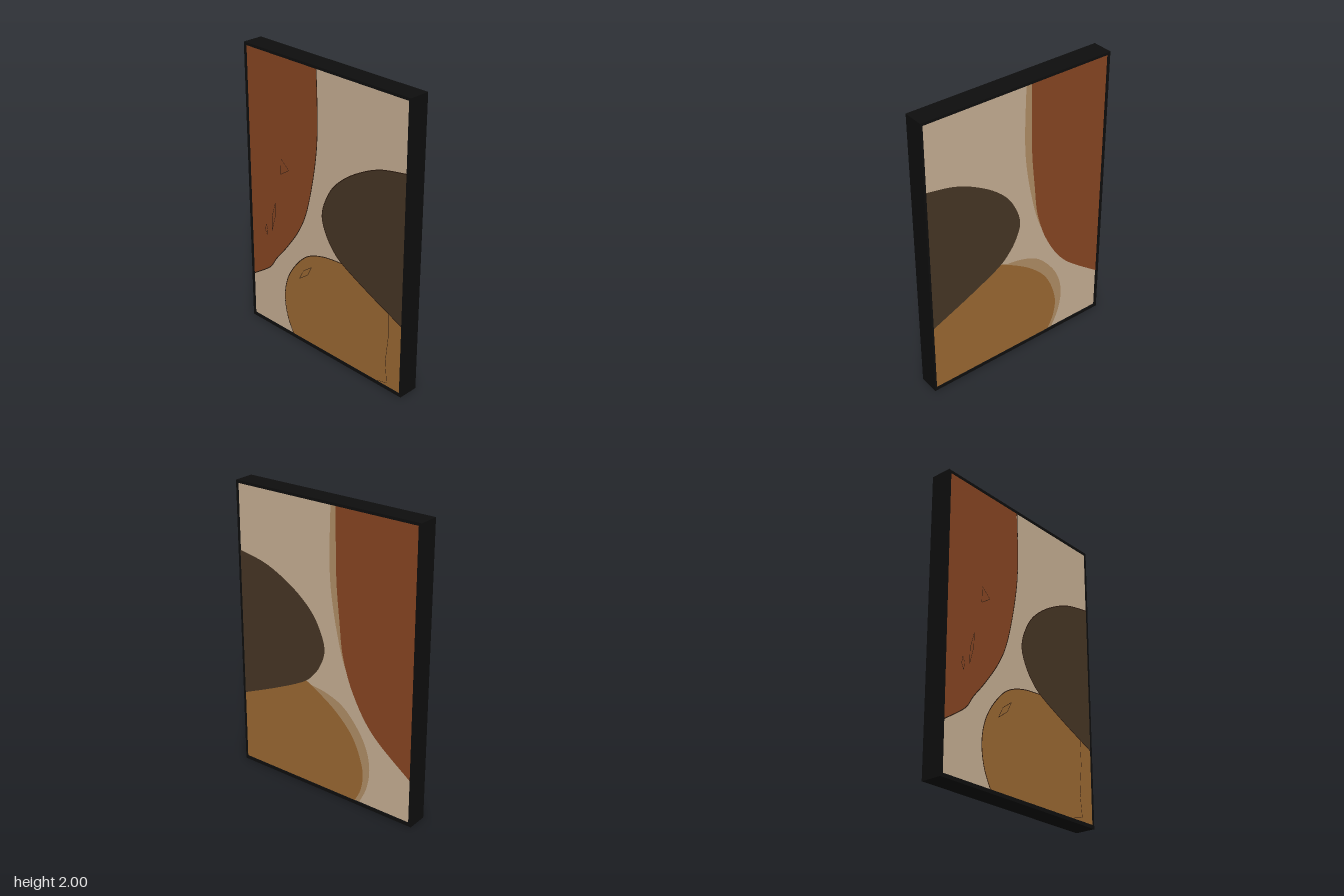
import * as THREE from 'three';

const material = (name, color) => {
  const m = new THREE.MeshStandardMaterial({ color });
  m.name = name;
  return m;
};

// smooth curve through [x, y] points
const smooth = (pts, n = 48) =>
  new THREE.SplineCurve(pts.map(([x, y]) => new THREE.Vector2(x, y))).getPoints(n);
const corners = (pts) => pts.map(([x, y]) => new THREE.Vector2(x, y));

export function createModel() {
  const black = material('frame black', 0x0e0e0e);
  const cream = material('cream', 0xc6ae93);
  const terracotta = material('terracotta', 0x874522);
  const umber = material('dark umber', 0x463524);
  const ochre = material('ochre', 0x9a6832);
  const halo = material('pale tan edge', 0xb08d65);
  const ink = material('ink line', 0x2c1b10);

  const model = new THREE.Group();
  model.name = 'framedPainting';
  const add = (parent, name, geometry, mat, z = 0) => {
    const mesh = new THREE.Mesh(geometry, mat);
    mesh.name = name;
    mesh.position.z = z;
    parent.add(mesh);
    return mesh;
  };

  // Frame: a rectangular ring running the full depth
  const outer = new THREE.Shape(corners([[-0.695, 0], [0.692, 0], [0.692, 2], [-0.695, 2]]));
  outer.holes.push(new THREE.Path(corners([[-0.675, 0.024], [-0.675, 1.982], [0.678, 1.982], [0.678, 0.024]])));
  add(model, 'frame', new THREE.ExtrudeGeometry(outer, { depth: 0.142, bevelEnabled: false }), black, -0.072);

  // Canvas block filling the frame
  const canvas = add(model, 'canvas', new THREE.BoxGeometry(1.36, 1.965, 0.13), cream);
  canvas.position.y = 1.003;

  // Curved edges of the painted shapes
  const rustEdge = smooth([[-0.05, 1.982], [-0.043, 1.6], [-0.07, 1.33], [-0.14, 1.02], [-0.22, 0.84],
    [-0.34, 0.67], [-0.44, 0.55], [-0.51, 0.455], [-0.677, 0.34]]);
  const rustInner = smooth([[-0.09, 1.982], [-0.095, 1.55], [-0.12, 1.26], [-0.15, 1.02], [-0.235, 0.78],
    [-0.39, 0.55], [-0.677, 0.325]]);
  const umberEdge = smooth([[0.679, 1.54], [0.46, 1.495], [0.25, 1.39], [0.1, 1.265], [0.02, 1.13],
    [-0.005, 1.02], [0.025, 0.92], [0.08, 0.835], [0.17, 0.755], [0.4, 0.64], [0.679, 0.518]]);
  const ochreEdge = smooth([[-0.285, 0.022], [-0.34, 0.14], [-0.363, 0.28], [-0.34, 0.42], [-0.27, 0.55],
    [-0.15, 0.675], [0, 0.735], [0.17, 0.755]]);
  const ochreInner = smooth([[-0.25, 0.022], [-0.3, 0.13], [-0.308, 0.28], [-0.23, 0.48], [-0.08, 0.635],
    [0.13, 0.765]]);

  const rustCorner = corners([[-0.677, 1.982]]);
  const ochreCorners = corners([[0.3, 0.8], [0.679, 0.6], [0.679, 0.022]]);

  const flat = (pts, flip) => new THREE.ShapeGeometry(
    new THREE.Shape(pts.map((p) => new THREE.Vector2(flip ? -p.x : p.x, p.y))));

  // Thin ribbon following a line
  const ribbon = (pts, width) => {
    const sides = [[], []];
    pts.forEach((p, i) => {
      const a = pts[Math.max(i - 1, 0)], b = pts[Math.min(i + 1, pts.length - 1)];
      const t = b.clone().sub(a).normalize().multiplyScalar(width / 2);
      sides[0].push(new THREE.Vector2(p.x - t.y, p.y + t.x));
      sides[1].unshift(new THREE.Vector2(p.x + t.y, p.y - t.x));
    });
    return flat([...sides[0], ...sides[1]]);
  };

  // Front painting, in overlapping layers
  const front = new THREE.Group();
  front.name = 'frontPainting';
  model.add(front);
  add(front, 'terracottaShape', flat([...rustEdge, ...rustCorner]), terracotta, 0.066);
  add(front, 'ochreShape', flat([...ochreEdge, ...ochreCorners]), ochre, 0.066);
  add(front, 'umberShape', flat(umberEdge), umber, 0.0675);
  for (const [name, edge] of [['terracotta', rustEdge], ['ochre', ochreEdge], ['umber', umberEdge]]) {
    add(front, name + 'Outline', ribbon(edge, 0.006), ink, 0.069);
  }

  // Fine ink marks
  const marks = [
    [[-0.375, 1.3], [-0.305, 1.24], [-0.38, 1.19], [-0.375, 1.3]],
    [[-0.44, 0.965], [-0.475, 0.85], [-0.478, 0.745], [-0.445, 0.86], [-0.44, 0.965]],
    [[-0.535, 0.775], [-0.545, 0.73], [-0.527, 0.69], [-0.52, 0.74], [-0.535, 0.775]],
    [[-0.105, 0.615], [-0.18, 0.56], [-0.22, 0.485], [-0.14, 0.545], [-0.105, 0.615]],
    [[0.57, 0.56], [0.575, 0.4], [0.555, 0.2], [0.572, 0.05], [0.49, 0.03]],
  ];
  marks.forEach((pts) => {
    for (let i = 1; i < pts.length; i++) {
      add(front, 'inkMark', ribbon(corners([pts[i - 1], pts[i]]), 0.003), ink, 0.069);
    }
  });

  // Back painting repeats the design with pale edges
  const back = new THREE.Group();
  back.name = 'backPainting';
  back.rotation.y = Math.PI;
  model.add(back);
  add(back, 'terracottaHalo', flat([...rustEdge, ...rustCorner], true), halo, 0.066);
  add(back, 'ochreHalo', flat([...ochreEdge, ...ochreCorners], true), halo, 0.066);
  add(back, 'terracottaShape', flat([...rustInner, ...rustCorner], true), terracotta, 0.0675);
  add(back, 'ochreShape', flat([...ochreInner, ...ochreCorners], true), ochre, 0.0675);
  add(back, 'umberShape', flat(umberEdge, true), umber, 0.069);

  return model;
}
